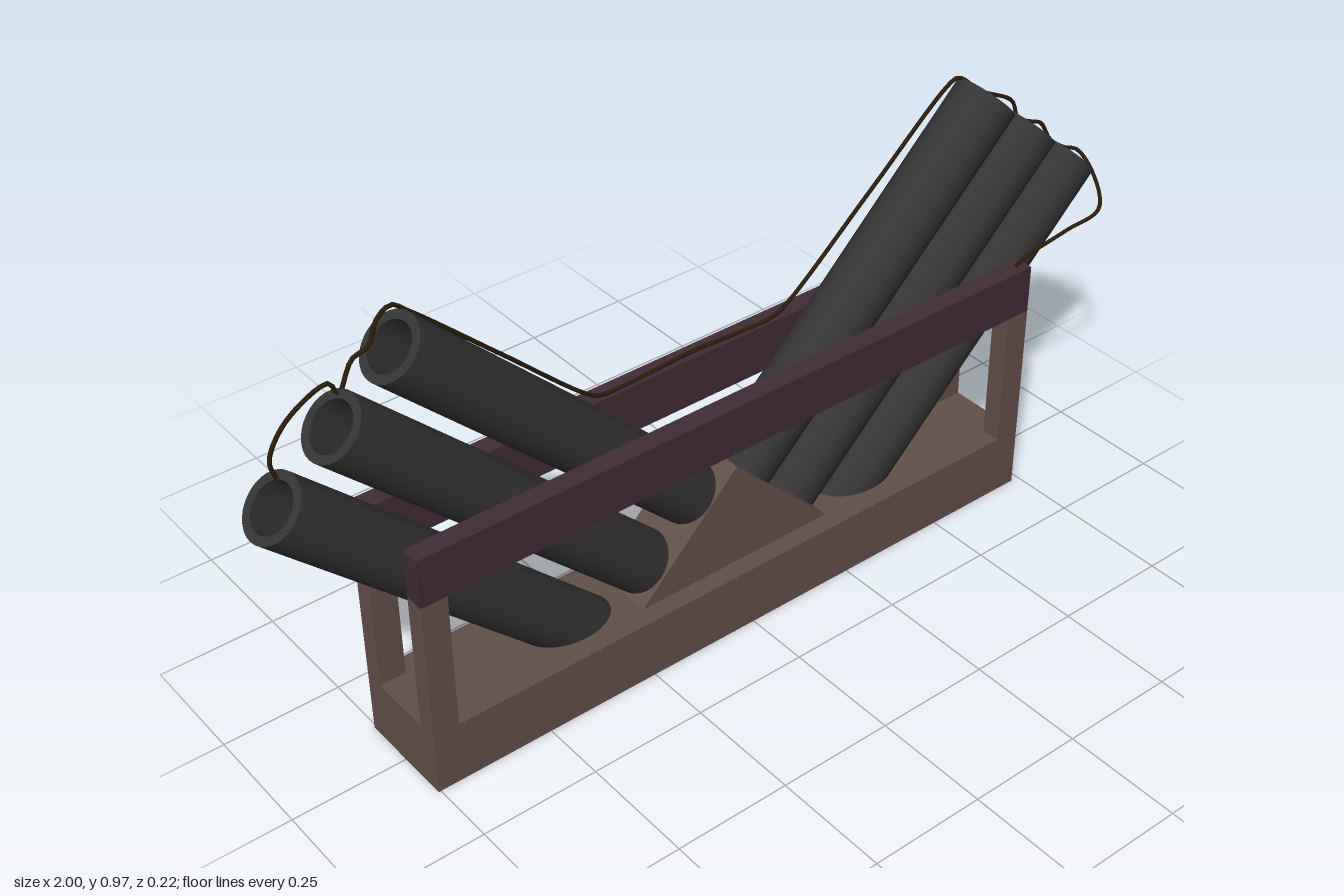
import * as THREE from 'three';

const mat = (name, color) => {
  const m = new THREE.MeshStandardMaterial({ color });
  m.name = name;
  return m;
};

export function createModel() {
  const wood = mat('brown wood', 0x63504a);
  const railWood = mat('dark plum wood', 0x422c36);
  const tubeMat = mat('charcoal tube', 0x343434);
  const cord = mat('fuse cord', 0x2b1d0a);

  const model = new THREE.Group();
  model.name = 'tubeRack';
  // The rack sits slightly to the right of the overall centre
  const rack = new THREE.Group();
  rack.name = 'rack';
  rack.position.x = -0.012;
  model.add(rack);

  const add = (parent, name, geometry, material, x = 0, y = 0, z = 0) => {
    const mesh = new THREE.Mesh(geometry, material);
    mesh.name = name;
    mesh.position.set(x, y, z);
    parent.add(mesh);
    return mesh;
  };

  // Base block
  add(rack, 'base', new THREE.BoxGeometry(1.486, 0.137, 0.22), wood, 0, 0.0685, 0);

  // Side rails and corner posts
  for (const side of [1, -1]) {
    const label = side > 0 ? 'front' : 'back';
    add(rack, label + 'Rail', new THREE.BoxGeometry(1.486, 0.106, 0.042), railWood, 0, 0.495, side * 0.089);
    for (const end of [1, -1]) {
      add(rack, label + (end > 0 ? 'LeftPost' : 'RightPost'),
        new THREE.BoxGeometry(0.056, 0.305, 0.042), wood, end * 0.715, 0.2895, side * 0.089);
    }
  }

  // Central wedge that the tubes rest against
  const triangle = new THREE.Shape([
    new THREE.Vector2(-0.239, 0.132),
    new THREE.Vector2(0.239, 0.132),
    new THREE.Vector2(0, 0.371),
  ]);
  const wedge = new THREE.ExtrudeGeometry(triangle, { depth: 0.14, bevelEnabled: false });
  add(rack, 'wedge', wedge, wood, 0, 0, -0.07);

  // Hollow tube; doubled profile points keep the rims sharp
  const R = 0.067, r = 0.049, L = 0.878;
  const profile = [
    [0, 0], [R, 0], [R, 0], [R, L], [R, L], [r, L], [r, L], [r, 0.03], [r, 0.03], [0, 0.03],
  ].map(([x, y]) => new THREE.Vector2(x, y));
  const tube = new THREE.LatheGeometry(profile, 32);
  const tilt = THREE.MathUtils.degToRad(44.3);
  const mouths = [[0.69, 0.91], [0.814, 0.804], [0.94, 0.696]];

  // Two mirrored fans of three tubes
  for (const side of [1, -1]) {
    mouths.forEach(([x, y], i) => {
      const mesh = add(rack, (side > 0 ? 'leftTube' : 'rightTube') + (i + 1), tube, tubeMat,
        side * (x - L * Math.cos(tilt)), y - L * Math.sin(tilt), 0);
      mesh.rotation.z = -side * (Math.PI / 2 - tilt);
    });
  }

  // Fuse cord running over all the mouths and along the back rail
  const path = [
    [-0.92, 0.72, -0.03], [-0.93, 0.765, -0.03], [-0.89, 0.828, -0.03], [-0.806, 0.866, -0.03],
    [-0.79, 0.835, -0.03], [-0.758, 0.893, -0.03], [-0.725, 0.905, -0.03], [-0.704, 0.95, -0.03],
    [-0.677, 0.968, -0.028], [-0.645, 0.943, -0.03], [-0.45, 0.758, -0.05], [-0.26, 0.577, -0.073],
    [-0.225, 0.555, -0.076], [0, 0.554, -0.082], [0.2, 0.555, -0.076], [0.235, 0.577, -0.072],
    [0.43, 0.772, -0.052], [0.6, 0.942, -0.035], [0.624, 0.957, -0.03], [0.69, 0.905, -0.03],
    [0.72, 0.89, -0.03], [0.785, 0.852, -0.03], [0.805, 0.808, -0.03], [0.838, 0.788, -0.03],
    [0.876, 0.771, -0.03], [0.91, 0.72, -0.03], [0.956, 0.686, -0.03], [0.993, 0.669, -0.025],
    [0.985, 0.64, 0.03], [0.94, 0.6, 0.094], [0.85, 0.582, 0.092], [0.74, 0.563, 0.09], [0.7, 0.552, 0.092],
  ].map((p) => new THREE.Vector3(...p));
  const curve = new THREE.CatmullRomCurve3(path, false, 'centripetal');
  add(model, 'fuseCord', new THREE.TubeGeometry(curve, 220, 0.0042, 8), cord);

  return model;
}
